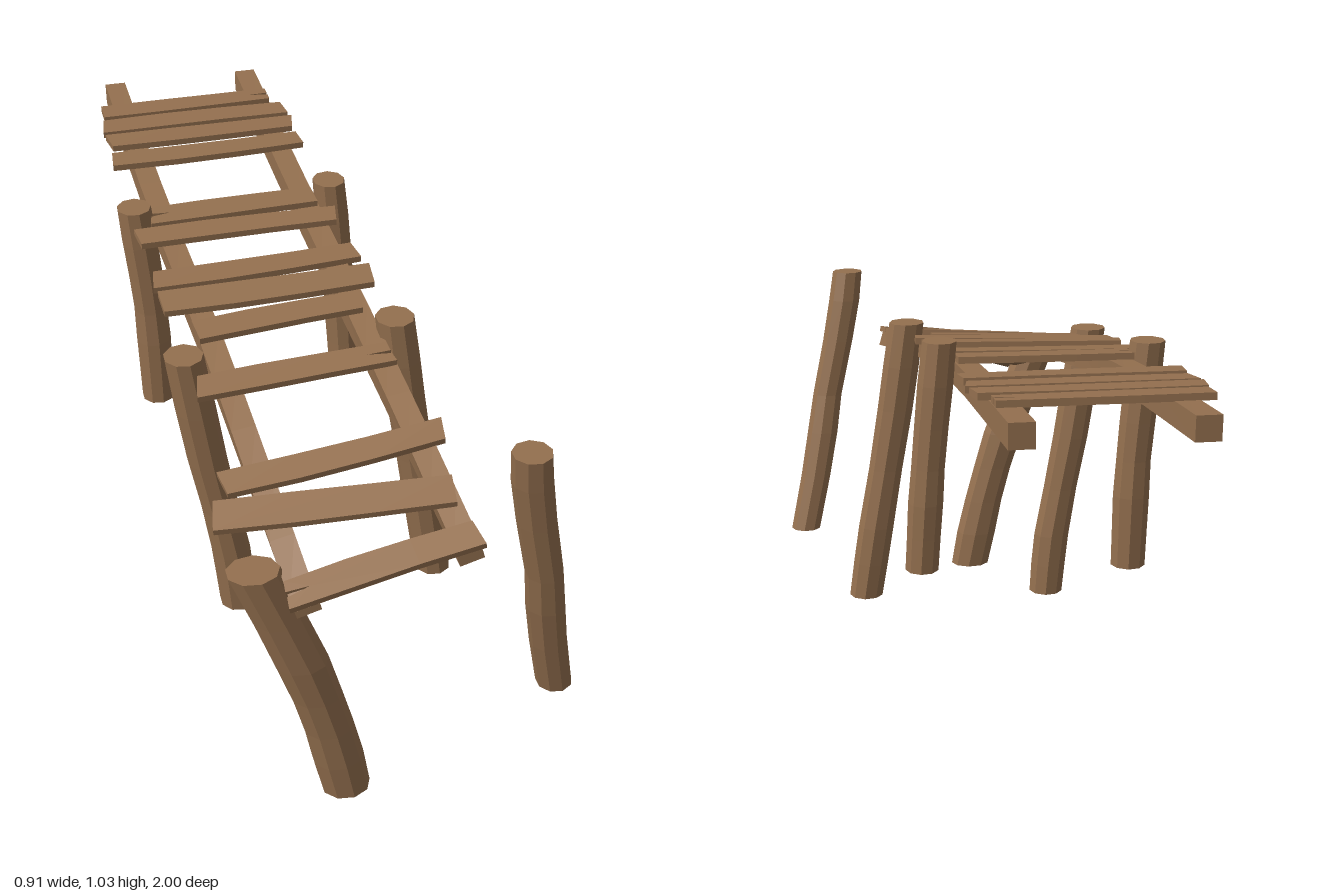
import * as THREE from 'three';

const wood = new THREE.MeshStandardMaterial({ color: 0x94704f, flatShading: true });

// Skin between equal rings (counter-clockwise seen along the sweep's far end), with end caps
function loft(rings) {
  const n = rings[0].length, last = rings.length - 1, pos = [], idx = [];
  rings.forEach(r => r.forEach(p => pos.push(p.x, p.y, p.z)));
  for (let i = 0; i < last; i++) {
    for (let j = 0; j < n; j++) {
      const a = i * n + j, b = i * n + (j + 1) % n;
      idx.push(a, b, b + n, a, b + n, a + n);
    }
  }
  for (let j = 1; j < n - 1; j++) {
    idx.push(0, j + 1, j);
    idx.push(last * n, last * n + j, last * n + j + 1);
  }
  const g = new THREE.BufferGeometry();
  g.setAttribute('position', new THREE.Float32BufferAttribute(pos, 3));
  g.setIndex(idx);
  const flat = g.toNonIndexed();
  flat.computeVertexNormals();
  return flat;
}

const curve = pts => new THREE.CatmullRomCurve3(pts.map(p => new THREE.Vector3(...p)));

// Crooked log: level rings stacked from the foot to the head
function post(name, rx, rz, pts) {
  const c = curve(pts), sides = 9, rings = [];
  for (let i = 0; i <= 6; i++) {
    const p = c.getPoint(i / 6);
    const swell = 1 + 0.03 * Math.sin(i * 2.1 + rx * 90);
    rings.push(Array.from({ length: sides }, (_, j) => {
      const a = -j / sides * Math.PI * 2;
      return new THREE.Vector3(p.x + Math.cos(a) * rx * swell, p.y, p.z + Math.sin(a) * rz * swell);
    }));
  }
  return named(new THREE.Mesh(loft(rings), wood), name);
}

// Square beam sagging and rolling towards the front
function rail(name, c) {
  const rings = [], h = 0.029;
  for (let i = 0; i <= 10; i++) {
    const p = c.getPoint(i / 10), roll = 0.28 * (i / 10) ** 2;
    rings.push([[-h, -h], [h, -h], [h, h], [-h, h]].map(([x, y]) => new THREE.Vector3(
      p.x + x * Math.cos(roll) - y * Math.sin(roll),
      p.y + x * Math.sin(roll) + y * Math.cos(roll), p.z)));
  }
  return named(new THREE.Mesh(loft(rings), wood), name);
}

function named(obj, name) {
  obj.name = name;
  return obj;
}

// Point of a rail curve at a given z
function atZ(c, z) {
  let lo = 0, hi = 1;
  for (let i = 0; i < 24; i++) {
    const m = (lo + hi) / 2;
    if (c.getPoint(m).z < z) lo = m; else hi = m;
  }
  return c.getPoint(lo);
}

// Board with uneven ends, an optional split and a slight bow
function plankGeometry(len, w, i, split) {
  const a = len / 2, b = w / 2, e = 0.006 * Math.sin(i * 2.3), s = new THREE.Shape();
  s.moveTo(-a - e, -b);
  s.lineTo(-a / 3, -b * 1.04);
  s.lineTo(a / 3, -b * 0.98);
  s.lineTo(a + e, -b * 0.92);
  if (split > 0) s.lineTo(a, -0.006).lineTo(a - 0.06, 0.002).lineTo(a, 0.004);
  s.lineTo(a - e, b * 0.95);
  s.lineTo(a / 3, b * 0.98);
  s.lineTo(-a / 3, b * 1.03);
  s.lineTo(-a + e, b);
  if (split < 0) s.lineTo(-a, 0.008).lineTo(-a + 0.055, 0.002).lineTo(-a, -0.006);
  s.closePath();
  const g = new THREE.ExtrudeGeometry(s, { depth: 0.017, bevelEnabled: false });
  const p = g.attributes.position;
  for (let k = 0; k < p.count; k++) {
    const t = p.getX(k) / a;
    p.setY(k, p.getY(k) + 0.005 * Math.sin(i * 1.7) * (1 - t * t));
  }
  g.computeVertexNormals();
  return g;
}

export function createModel() {
  const model = named(new THREE.Group(), 'brokenPier');

  // Leaning posts, foot to head
  model.add(
    post('frontLeaningPost', 0.062, 0.05, [[-0.135, 0, 0.9], [-0.18, 0.22, 0.9], [-0.245, 0.45, 0.9], [-0.35, 0.74, 0.895]]),
    post('frontLoosePost', 0.047, 0.044, [[0.41, 0.17, 0.845], [0.355, 0.42, 0.88], [0.325, 0.6, 0.905], [0.27, 0.85, 0.925], [0.25, 0.985, 0.94]]),
    post('middleRightPost', 0.05, 0.05, [[-0.28, 0.12, 0.32], [-0.295, 0.3, 0.32], [-0.345, 0.6, 0.315], [-0.39, 0.92, 0.315]]),
    post('middleLeftPost', 0.05, 0.05, [[0.258, 0.135, 0.325], [0.225, 0.35, 0.32], [0.165, 0.7, 0.32], [0.13, 0.95, 0.315]]),
    post('backRightPost', 0.046, 0.047, [[-0.385, 0.41, -0.25], [-0.39, 0.7, -0.255], [-0.415, 1.01, -0.26]]),
    post('backLeftPost', 0.044, 0.047, [[0.157, 0.425, -0.25], [0.14, 0.7, -0.255], [0.11, 1.025, -0.26]])
  );

  // Two long rails under the deck
  const right = curve([[-0.358, 0.99, -1], [-0.34, 0.942, -0.3], [-0.308, 0.88, 0.2], [-0.28, 0.79, 0.6], [-0.25, 0.685, 0.97]]);
  const left = curve([[0.035, 0.99, -1], [0.045, 0.945, -0.3], [0.065, 0.895, 0.2], [0.09, 0.83, 0.6], [0.115, 0.757, 0.97]]);
  model.add(rail('rightRail', right), rail('leftRail', left));

  // Deck boards: z at the right end, z at the left end, x from, x to, width, split end
  const boards = [
    [-0.815, -0.82, -0.42, 0.065, 0.065, 1], [-0.73, -0.73, -0.43, 0.095, 0.068, 0],
    [-0.65, -0.65, -0.425, 0.1, 0.066, 0], [-0.55, -0.555, -0.43, 0.1, 0.068, 0],
    [-0.258, -0.262, -0.375, 0.07, 0.075, -1], [-0.172, -0.165, -0.42, 0.105, 0.068, 0],
    [0.008, 0.006, -0.41, 0.115, 0.068, 0], [0.095, 0.105, -0.405, 0.13, 0.082, 0],
    [0.21, 0.2, -0.34, 0.075, 0.07, 0], [0.388, 0.395, -0.37, 0.1, 0.07, 1],
    [0.66, 0.66, -0.365, 0.15, 0.068, 0], [0.755, 0.825, -0.4, 0.125, 0.082, 0],
    [0.955, 0.95, -0.285, 0.145, 0.072, -1]
  ];
  const deck = named(new THREE.Group(), 'deck');
  boards.forEach(([zr, zl, x0, x1, w, split], i) => {
    const a = atZ(right, zr), b = atZ(left, zl);
    const X = b.clone().sub(a).normalize();
    const slope = atZ(left, zl - 0.04).sub(atZ(left, zl + 0.04)).normalize();
    const Z = X.clone().cross(slope).normalize(), Y = Z.clone().cross(X);
    const mid = a.lerp(b, ((x0 + x1) / 2 - a.x) / (b.x - a.x));
    mid.addScaledVector(Z, i === 12 ? 0.018 : 0.028);
    const plank = named(new THREE.Mesh(plankGeometry((x1 - x0) / X.x, w, i, split), wood), 'plank' + (i + 1));
    plank.quaternion.setFromRotationMatrix(new THREE.Matrix4().makeBasis(X, Y, Z));
    plank.position.copy(mid);
    deck.add(plank);
  });
  model.add(deck);
  return model;
}
